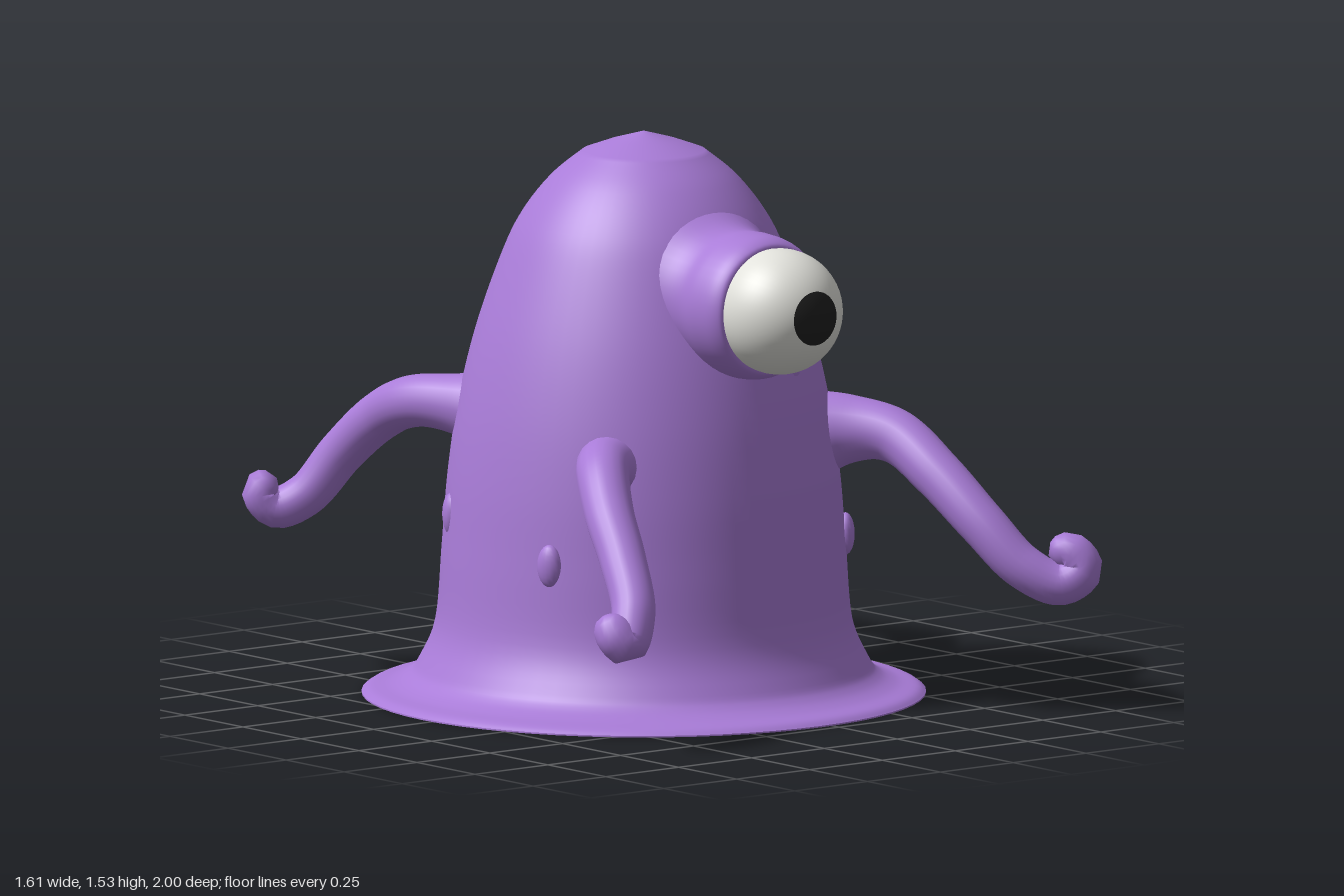
import * as THREE from 'three';
import { mergeVertices } from 'three/addons/utils/BufferGeometryUtils.js';

const CX = -0.045, CZ = -0.035; // body axis

const v2 = (list) => list.map(([x, y]) => new THREE.Vector2(x, y));

// Tube with a flared root, tapering to a rounded tip
function tentacleGeometry(points) {
  const segments = 72, sides = 20;
  const curve = new THREE.CatmullRomCurve3(points.map((p) => new THREE.Vector3(...p)), false, 'centripetal');
  const geo = new THREE.TubeGeometry(curve, segments, 1, sides, false);
  const pos = geo.attributes.position;
  const v = new THREE.Vector3(), c = new THREE.Vector3();
  for (let i = 0; i <= segments; i++) {
    const t = i / segments;
    curve.getPointAt(t, c);
    let r = 0.078 - 0.024 * t + 0.05 * Math.exp(-Math.pow(t / 0.15, 2));
    if (t > 0.94) r *= Math.sqrt(Math.max(0, 1 - Math.pow((t - 0.94) / 0.06, 2)));
    for (let j = 0; j <= sides; j++) {
      const k = i * (sides + 1) + j;
      v.fromBufferAttribute(pos, k).sub(c).multiplyScalar(r).add(c);
      pos.setXYZ(k, v.x, v.y, v.z);
    }
  }
  geo.deleteAttribute('uv');
  geo.deleteAttribute('normal');
  const merged = mergeVertices(geo, 1e-5);
  merged.computeVertexNormals();
  return merged;
}

export function createModel() {
  const group = new THREE.Group();
  group.name = 'oneEyedMonster';
  const skin = new THREE.MeshStandardMaterial({ color: 0xa97cd8 });
  skin.name = 'purple skin';
  const white = new THREE.MeshStandardMaterial({ color: 0xe2e2dc });
  white.name = 'eye white';
  const black = new THREE.MeshStandardMaterial({ color: 0x202020 });
  black.name = 'pupil black';

  const add = (name, geo, mat, x = 0, y = 0, z = 0) => {
    const mesh = new THREE.Mesh(geo, mat);
    mesh.name = name;
    mesh.position.set(x, y, z);
    group.add(mesh);
    return mesh;
  };

  // Bell-shaped body with a thin spreading foot
  const profile = new THREE.SplineCurve(v2([
    [0.758, 0.004], [0.735, 0.018], [0.68, 0.03], [0.635, 0.052], [0.605, 0.09],
    [0.56, 0.2], [0.543, 0.4], [0.527, 0.6], [0.498, 0.8], [0.45, 1.0], [0.38, 1.2],
    [0.325, 1.31], [0.25, 1.405], [0.165, 1.475],
  ])).getPoints(70);
  add('body', new THREE.LatheGeometry([...profile, ...v2([[0.09, 1.502], [0, 1.527]])], 64), skin, CX, 0, CZ);
  add('footRim', new THREE.CylinderGeometry(0.758, 0.758, 0.004, 64), skin, CX, 0.002, CZ);

  // Eye socket, eyeball and pupil, all turned to face forward
  const eyeY = 1.11, eyeZ = 0.55, eyeR = 0.17, pupilAngle = 0.445;
  const socketSide = new THREE.SplineCurve(v2([
    [0.26, 0.22], [0.215, 0.3], [0.198, 0.36], [0.199, 0.42], [0.193, 0.48], [0.178, 0.512], [0.16, 0.518],
  ])).getPoints(32);
  const forward = (name, geo, mat, z) => add(name, geo.rotateX(Math.PI / 2), mat, CX, eyeY, z);
  forward('eyeSocket', new THREE.LatheGeometry(socketSide, 48), skin, 0);
  forward('eyeball', new THREE.SphereGeometry(eyeR, 48, 24, 0, Math.PI * 2, pupilAngle, 2 - pupilAngle), white, eyeZ);
  forward('pupil', new THREE.SphereGeometry(eyeR, 48, 8, 0, Math.PI * 2, 0, pupilAngle), black, eyeZ);

  // Four drooping tentacles with curled tips
  const tentacles = {
    frontLeftTentacle: [[0.27, 0.69, 0.2], [0.37, 0.72, 0.33], [0.43, 0.71, 0.45], [0.46, 0.62, 0.6],
      [0.5, 0.5, 0.74], [0.56, 0.39, 0.84], [0.635, 0.345, 0.91], [0.682, 0.385, 0.942], [0.66, 0.43, 0.915], [0.615, 0.42, 0.88]],
    backLeftTentacle: [[0.25, 0.755, -0.24], [0.37, 0.775, -0.36], [0.46, 0.785, -0.44], [0.53, 0.72, -0.56],
      [0.57, 0.62, -0.67], [0.63, 0.5, -0.735], [0.69, 0.4, -0.75], [0.735, 0.37, -0.73], [0.745, 0.42, -0.695], [0.71, 0.45, -0.69]],
    backRightTentacle: [[-0.3, 0.74, -0.22], [-0.4, 0.775, -0.38], [-0.45, 0.77, -0.52], [-0.455, 0.71, -0.66],
      [-0.48, 0.6, -0.79], [-0.54, 0.48, -0.87], [-0.6, 0.445, -0.925], [-0.63, 0.49, -0.945], [-0.6, 0.525, -0.92]],
    frontRightTentacle: [[-0.3, 0.66, 0.17], [-0.42, 0.69, 0.28], [-0.5, 0.69, 0.36], [-0.565, 0.6, 0.47],
      [-0.605, 0.49, 0.58], [-0.65, 0.37, 0.68], [-0.7, 0.29, 0.71], [-0.725, 0.325, 0.69], [-0.71, 0.36, 0.66]],
  };
  for (const [name, points] of Object.entries(tentacles)) add(name, tentacleGeometry(points), skin);

  // Small oval warts lying on the body: x, y, z
  const warts = [
    [0.453, 0.76, 0.05], [0.38, 0.43, 0.3], [0.165, 0.93, -0.445],
    [-0.29, 0.55, -0.505], [-0.54, 0.42, 0.18], [-0.51, 0.5, -0.28], [0.12, 0.93, 0.39],
  ];
  for (const [x, y, z] of warts) {
    const wart = add('wart', new THREE.SphereGeometry(1, 16, 12), skin, x, y, z);
    wart.scale.set(0.035, 0.058, 0.025);
    wart.rotation.y = Math.atan2(x - CX, z - CZ);
  }
  return group;
}
